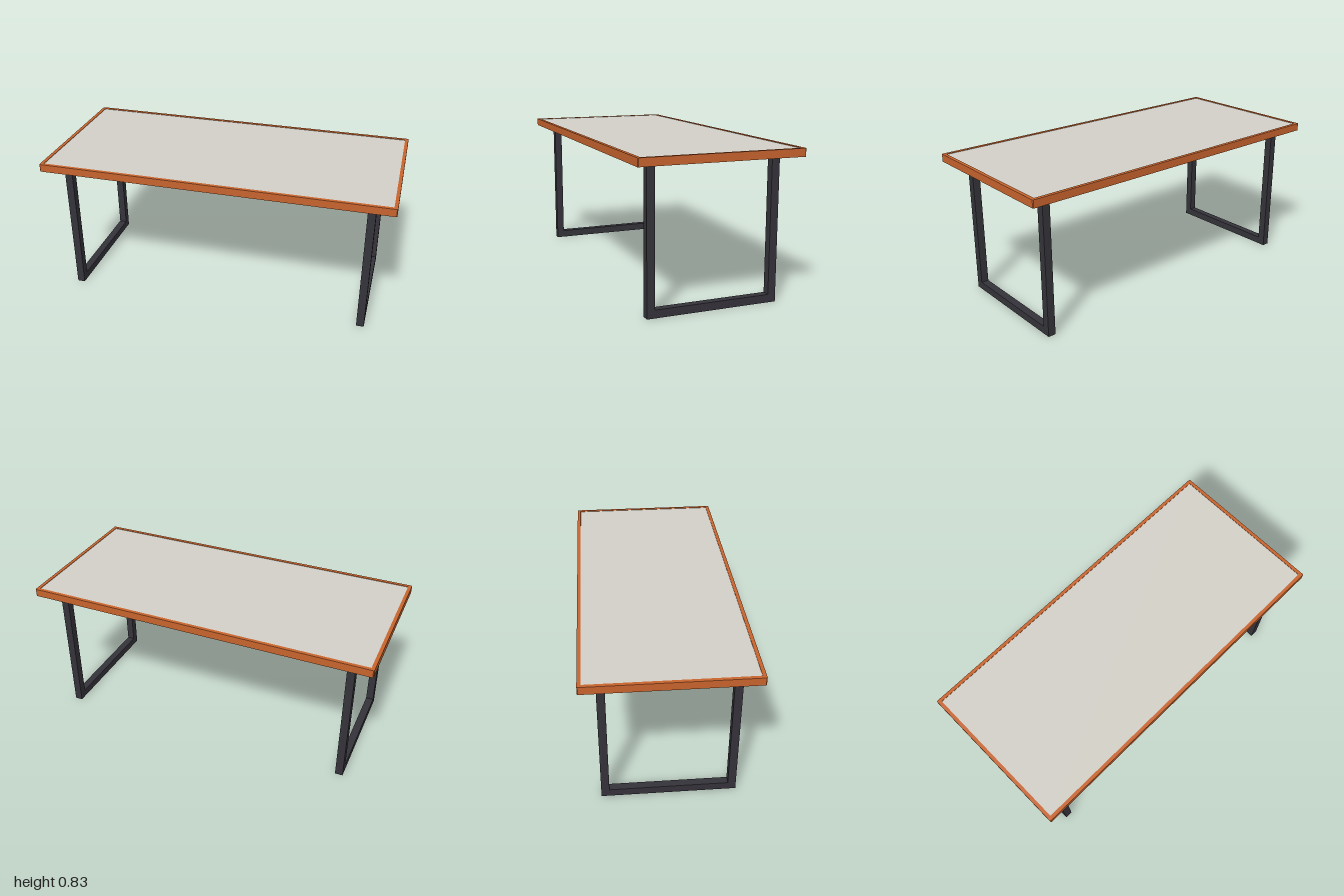
import * as THREE from 'three';

const paint = (color) => new THREE.MeshStandardMaterial({ color });

// Closed outline from [x, y] points
function outline(points, Type = THREE.Shape) {
  return new Type(points.map(([x, y]) => new THREE.Vector2(x, y)));
}

// Rectangle with slightly cut corners
function cutRect(w, d, c) {
  return [
    [-w + c, -d], [w - c, -d], [w, -d + c], [w, d - c],
    [w - c, d], [-w + c, d], [-w, d - c], [-w, -d + c],
  ];
}

export function createModel() {
  const model = new THREE.Group();
  model.name = 'table';

  const bottom = 0.79, top = 0.834, halfW = 1, halfD = 0.454, rim = 0.02;
  const tube = 0.044;

  // Wooden edging around the table top
  const edge = outline(cutRect(halfW, halfD, 0.004));
  const w = halfW - rim, d = halfD - rim;
  edge.holes.push(outline([[-w, -d], [-w, d], [w, d], [w, -d]], THREE.Path));
  const edging = new THREE.Mesh(
    new THREE.ExtrudeGeometry(edge, { depth: top - bottom, bevelEnabled: false }),
    paint(0xc8642d)
  );
  edging.name = 'woodEdging';
  edging.rotation.x = -Math.PI / 2;
  edging.position.y = bottom;
  model.add(edging);

  // Pale panel set just inside the edging
  const recess = 0.003;
  const panel = new THREE.Mesh(
    new THREE.BoxGeometry(w * 2, top - bottom - recess * 2, d * 2),
    paint(0xd3d0c8)
  );
  panel.name = 'topPanel';
  panel.position.y = (top + bottom) / 2;
  model.add(panel);

  // U-shaped square-tube leg frames, one at each end
  const z = 0.367, y = bottom + recess;
  const legGeometry = new THREE.ExtrudeGeometry(
    outline([
      [-z, 0], [z, 0], [z, y], [z - tube, y],
      [z - tube, tube], [-z + tube, tube], [-z + tube, y], [-z, y],
    ]),
    { depth: tube, bevelEnabled: false }
  );
  legGeometry.translate(0, 0, -tube / 2).rotateY(Math.PI / 2);
  const legPaint = paint(0x35333a);
  for (const side of [-1, 1]) {
    const leg = new THREE.Mesh(legGeometry, legPaint);
    leg.name = side > 0 ? 'leftLegFrame' : 'rightLegFrame';
    leg.position.x = side * 0.869;
    model.add(leg);
  }

  return model;
}
